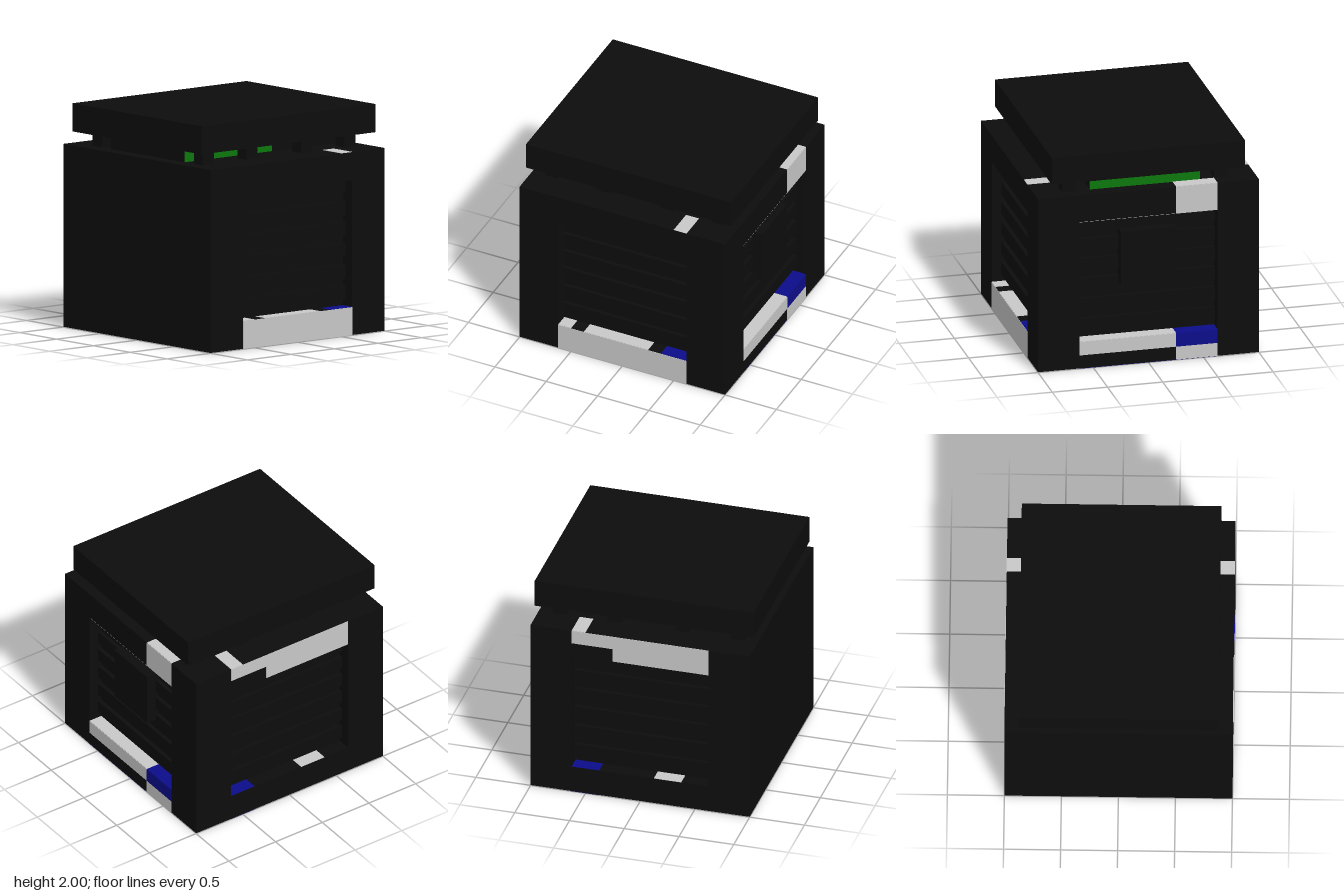
import * as THREE from 'three';

const mat = (name, hex) => {
  const m = new THREE.MeshStandardMaterial({ color: hex });
  m.name = name;
  return m;
};

export function createModel() {
  const model = new THREE.Group();
  model.name = 'ventedBlock';
  const black = mat('black', 0x0d0d0d);
  const white = mat('lightGrey', 0xc8c8c8);
  const green = mat('green', 0x0d780d);
  const blue = mat('blue', 0x0d0d8a);

  // Box given by its bounds
  const box = (name, m, x0, x1, y0, y1, z0, z1) => {
    const mesh = new THREE.Mesh(new THREE.BoxGeometry(x1 - x0, y1 - y0, z1 - z0), m);
    mesh.position.set((x0 + x1) / 2, (y0 + y1) / 2, (z0 + z1) / 2);
    mesh.name = name;
    model.add(mesh);
  };
  // The same box on the left (s = 1) or the right (s = -1)
  const side = (s, name, m, x0, x1, ...rest) =>
    box(name, m, s > 0 ? x0 : -x1, s > 0 ? x1 : -x0, ...rest);

  const T = 0.003; // plate thickness
  const B = 0.003; // underside of the body, above the base plates
  const slatHeights = [0.31, 0.5, 0.69, 0.875, 1.06, 1.25];

  // Body core; the front stays flat
  box('bodyCore', black, -0.875, 0.875, B, 1.625, -0.875, 1);

  // Side frames around the vent recesses
  for (const s of [1, -1]) {
    side(s, 'frontPillar', black, 0.875, 1, B, 1.625, 0.625, 1);
    side(s, 'backPillar', black, 0.875, 1, B, 1.625, -1, -0.625);
    side(s, 'sideHeader', black, 0.875, 1, 1.375, 1.625, -0.625, 0.625);
    side(s, 'sideSill', black, 0.875, 1, B, 0.25, -0.625, 0.625);
    side(s, 'deckPatch', white, 0.75, 1, 1.625, 1.625 + T, -0.625, -0.5);
    side(s, 'sillPatchBlue', blue, 0.875, 1, 0.25, 0.25 + T, -0.625, -0.375);
    for (const y of slatHeights)
      side(s, 'sideSlat', black, 0.875, 0.91, y, y + 0.12, -0.625, 0.625);
  }
  // Back frame
  for (const s of [1, -1]) side(s, 'backCorner', black, 0.625, 0.875, B, 1.625, -1, -0.875);
  box('backHeader', black, -0.625, 0.625, 1.375, 1.625, -1, -0.875);
  box('backSill', black, -0.625, 0.625, B, 0.25, -1, -0.875);
  for (const y of slatHeights)
    box('backSlat', black, -0.625, 0.625, y, y + 0.12, -0.91, -0.875);
  box('backHatch', black, -0.25, 0.25, 0.75, 1.25, -1, -0.875);

  // Painted plates on the left side
  box('leftSillFace', white, 1, 1 + T, B, 0.25, -0.625, 0.625);
  box('leftSillTop', white, 0.875, 1, 0.25, 0.25 + T, -0.25, 0.375);
  box('leftSillCorner', white, 0.875, 1, 0.25, 0.25 + T, 0.5, 0.625);

  // Painted plates on the right side
  box('rightHeaderFace', white, -1 - T, -1, 1.375, 1.625, -0.25, 0.625);
  box('rightHeaderStrip', white, -1 - T, -1, 1.5, 1.625, -0.625, -0.25);
  box('rightSillTop', white, -1, -0.875, 0.25, 0.25 + T, 0.125, 0.375);

  // Painted plates on the back
  box('backSillStripe', white, -0.25, 0.625, 0.125, 0.25, -1 - T, -1);
  box('backSillTop', white, -0.25, 0.625, 0.25, 0.25 + T, -1, -0.875);
  box('backSillBlue', blue, -0.625, -0.25, 0.125, 0.25, -1 - T, -1);
  box('backSillBlueTop', blue, -0.625, -0.25, 0.25, 0.25 + T, -1, -0.875);
  box('backSillFoot', white, -0.625, -0.25, B, 0.125, -1 - T, -1);
  box('backHeaderFace', white, -0.625, -0.25, 1.375, 1.625, -1 - T, -1);
  box('backHeaderTop', white, -0.625, -0.25, 1.625, 1.625 + T, -1, -0.875);
  box('backHeaderUnderside', white, -0.625, 0.625, 1.375 - T, 1.375, -1, -0.875);

  // Painted plates on the base
  box('baseBackBlue', blue, -0.625, 0.625, 0, B, -1, -0.875);
  box('baseStripe', white, -0.625, 0.625, 0, B, -0.75, -0.625);
  box('baseBand', white, -0.25, 1, 0, B, -0.625, -0.375);
  box('baseBandBlue', blue, -1, -0.25, 0, B, -0.625, -0.375);
  box('baseSmallPatch', white, -1, -0.625, 0, B, -0.25, -0.125);

  // Neck with green sides and back, and the posts beside it
  box('neck', black, -0.5, 0.5, 1.625, 1.75, -0.875, 0.875);
  box('neckBack', green, -0.5, 0.5, 1.625, 1.75, -0.875 - T, -0.875);
  for (const s of [1, -1]) {
    side(s, 'neckSide', green, 0.5, 0.5 + T, 1.625, 1.75, -0.125, 0.875);
    for (const z of [0.75, 0.25, -0.375, -0.875])
      side(s, 'post', black, 0.625, 0.75, 1.625, 1.75, z, z + 0.125);
  }

  // Lid
  box('lid', black, -0.875, 0.875, 1.75, 2, -1, 1);
  return model;
}
